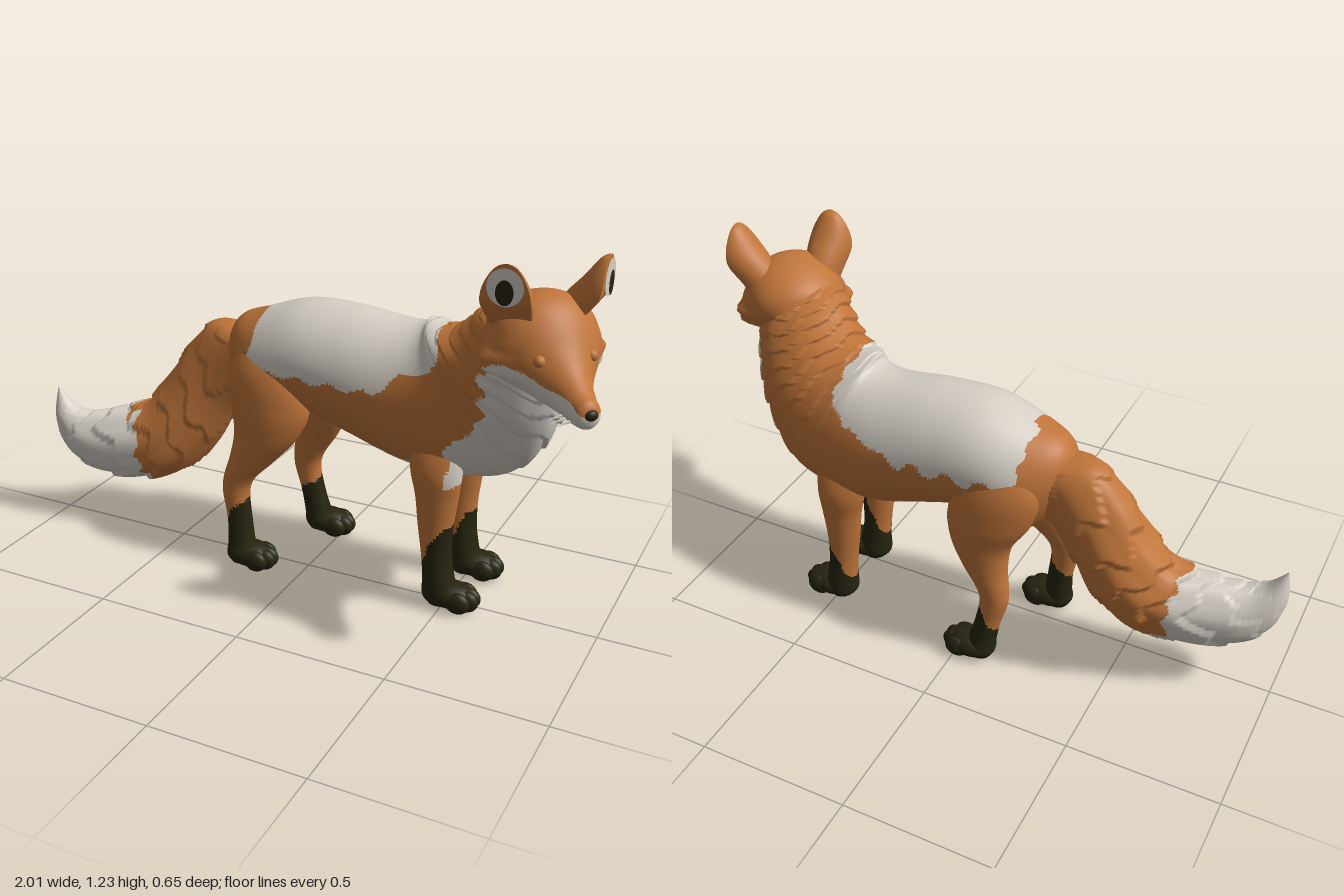
import * as THREE from 'three';

const mat = (name, color) => {
  const m = new THREE.MeshStandardMaterial({ color });
  m.name = name;
  return m;
};
const orange = mat('russet fur', 0xc0753a);
const white = mat('pale fur', 0xd6d0c6);
const dark = mat('dark fur', 0x26240f);
const MATS = [orange, white, dark];
const ORANGE = 0, WHITE = 1, DARK = 2;

// Smooth skin through elliptical sections [x, y, z, tilt, a, b]:
// a is the radius along the tilted axis in the xy plane, b the radius along z.
// shape(p, u, angle, centre) bends points, paint(p) picks the material of each face.
function loft(name, sections, { steps = 60, sides = 40, shape, paint = () => ORANGE } = {}) {
  const curve = (pick) => new THREE.CatmullRomCurve3(
    sections.map((s) => new THREE.Vector3(...pick(s))), false, 'catmullrom', 0.5);
  const centres = curve((s) => s.slice(0, 3));
  const radii = curve((s) => s.slice(3, 6));
  const pts = [];
  for (let i = 0; i <= steps; i++) {
    const u = i / steps, c = centres.getPoint(u), r = radii.getPoint(u);
    const t = THREE.MathUtils.degToRad(r.x);
    const a = Math.max(0.001, r.y), b = Math.max(0.001, r.z);
    for (let j = 0; j < sides; j++) {
      const th = (j / sides) * Math.PI * 2, k = a * Math.cos(th);
      const p = new THREE.Vector3(c.x + k * Math.cos(t), c.y + k * Math.sin(t), c.z + b * Math.sin(th));
      if (shape) shape(p, u, th, c);
      pts.push(p);
    }
  }
  const faces = MATS.map(() => []);
  const mid = new THREE.Vector3();
  const face = (a, b, c) => {
    mid.copy(pts[a]).add(pts[b]).add(pts[c]).divideScalar(3);
    faces[paint(mid)].push(a, b, c);
  };
  for (let i = 0; i < steps; i++) for (let j = 0; j < sides; j++) {
    const a = i * sides + j, b = i * sides + ((j + 1) % sides);
    face(a, b, a + sides);
    face(b, b + sides, a + sides);
  }
  const geo = new THREE.BufferGeometry().setFromPoints(pts);
  geo.setIndex(faces.flat());
  let start = 0;
  faces.forEach((f, i) => { if (f.length) geo.addGroup(start, f.length, i); start += f.length; });
  geo.computeVertexNormals();
  const mesh = new THREE.Mesh(geo, MATS);
  mesh.name = name;
  return mesh;
}

// Overlapping layers of pointed tufts
const clump = (u, th, rows) => {
  const points = Math.abs(((th * 7) / (Math.PI * 2)) % 1 - 0.5);
  const v = u * rows + points * 0.8 + 0.35 * Math.sin(2 * th + 9 * u);
  return v - Math.floor(v) - 0.5;
};
const swell = (p, c, k) => p.sub(c).multiplyScalar(1 + k).add(c);
const jag = (p) => 0.01 * Math.sin(55 * p.x + 20 * p.z) + 0.009 * Math.sin(71 * p.y + 47 * p.z);

function ball(name, material, pos, radius, scale = [1, 1, 1]) {
  const m = new THREE.Mesh(new THREE.SphereGeometry(radius, 24, 16), material);
  m.name = name;
  m.position.set(...pos);
  m.scale.set(...scale);
  return m;
}

// Leg of horizontal sections [x, y, z, rx, rz] ending in a paw with toes;
// the dark stocking slopes up towards the front, between 0.1 and top
function leg(name, rows, cuff, lean, top) {
  const g = new THREE.Group();
  g.name = name;
  const [px, , pz] = rows[rows.length - 1];
  g.add(loft('limb', rows.map(([x, y, z, rx, rz]) => [x, y, z, 0, rx, rz]), {
    steps: 70, sides: 36,
    paint: (p) => {
      const j = jag(p);
      if (p.y < THREE.MathUtils.clamp(cuff + lean * (p.x - px), 0.1, top) + j) return DARK;
      return p.x > 0.515 + j && p.y > 0.445 + j && p.z > -0.18 ? WHITE : ORANGE;
    },
  }));
  g.add(ball('paw', dark, [px + 0.035, 0.046, pz], 1, [0.085, 0.044, 0.06]));
  for (let i = 0; i < 4; i++) {
    const o = i - 1.5;
    g.add(ball('toe', dark, [px + 0.094 - 0.01 * o * o, 0.04, pz + o * 0.025], 1, [0.042, 0.037, 0.024]));
  }
  return g;
}

// Ear: rounded back, flat open side facing its own +z
function ear(name, side) {
  const g = new THREE.Group();
  g.name = name;
  g.add(loft('earShell', [
    [0, -0.03, -0.09, 180, 0.055, 0.06], [0, 0.03, -0.045, 180, 0.066, 0.1], [0, 0.08, -0.008, 180, 0.074, 0.105],
    [0, 0.125, 0, 180, 0.068, 0.074], [0, 0.165, 0, 180, 0.049, 0.043], [0, 0.19, 0, 180, 0.027, 0.022],
    [0, 0.2, 0, 180, 0.002, 0.002],
  ], { steps: 36, sides: 32, shape: (p, u, th, c) => { if (p.z > c.z) p.z = c.z; } }));
  const plate = (n, m, y, rx, ry, z) => {
    const s = new THREE.Shape().absellipse(0, y, rx, ry, 0, Math.PI * 2);
    const mesh = new THREE.Mesh(new THREE.ShapeGeometry(s, 24), m);
    mesh.name = n;
    mesh.position.z = z;
    g.add(mesh);
  };
  plate('innerEar', white, 0.134, 0.053, 0.054, 0.004);
  plate('earHollow', dark, 0.12, 0.026, 0.036, 0.008);
  g.position.set(0.07, 1.03, side * 0.158);
  g.rotation.y = side > 0 ? Math.PI / 4 : (3 * Math.PI) / 4;
  return g;
}

function makeHead() {
  const head = new THREE.Group();
  head.name = 'head';
  // Skull and muzzle, widened low down into the cheek ruffs
  head.add(loft('skull', [
    [-0.17, 0.99, 0, 90, 0.002, 0.002], [-0.15, 0.99, 0, 90, 0.06, 0.08], [-0.1, 0.99, 0, 90, 0.1, 0.135],
    [-0.02, 0.985, 0, 90, 0.135, 0.16], [0.05, 0.977, 0, 90, 0.14, 0.155], [0.11, 0.95, 0, 90, 0.122, 0.122],
    [0.16, 0.912, 0, 90, 0.09, 0.085], [0.2, 0.885, 0, 90, 0.068, 0.06], [0.25, 0.863, 0, 90, 0.051, 0.045],
    [0.29, 0.856, 0, 90, 0.037, 0.034], [0.306, 0.856, 0, 90, 0.002, 0.002],
  ], {
    steps: 100, sides: 72,
    shape: (p) => {
      const k = Math.exp(-(((p.x - 0.01) / 0.07) ** 2)) * Math.exp(-(((p.y - 0.92) / 0.055) ** 2));
      p.z *= 1 + k * (0.3 + 0.05 * Math.sin(p.y * 140));
    },
    paint: (p) => (p.x > -0.06 && p.y < 0.942 - 0.36 * Math.max(0, p.x - 0.08)
      - 0.4 * Math.max(0, 0.06 - p.x) + jag(p) * 0.3 ? WHITE : ORANGE),
  }));
  for (const s of [1, -1]) {
    head.add(ball('eye', orange, [0.142, 0.968, s * 0.08], 0.018));
    head.add(ear(s > 0 ? 'leftFacingEar' : 'rightFacingEar', s));
  }
  head.add(ball('nose', dark, [0.298, 0.862, 0], 0.018, [0.8, 0.9, 1.1]));
  // Loose wisps beside the mouth
  for (let i = 0; i < 3; i++) {
    const wisp = new THREE.Mesh(new THREE.ConeGeometry(0.007, 0.065, 6), white);
    wisp.name = 'wisp';
    wisp.position.set(0.215 + i * 0.018, 0.832 - i * 0.003, 0.055);
    wisp.rotation.x = 1.8;
    head.add(wisp);
  }
  head.position.set(0.78, 0, 0.09);
  head.rotation.y = -Math.PI / 4;
  return head;
}

export function createModel() {
  const fox = new THREE.Group();
  fox.name = 'fox';

  // Trunk rising into the neck
  fox.add(loft('body', [
    [-0.345, 0.74, -0.1, 90, 0.002, 0.002], [-0.295, 0.725, -0.1, 90, 0.108, 0.095], [-0.2, 0.69, -0.1, 90, 0.183, 0.165],
    [-0.05, 0.735, -0.1, 90, 0.185, 0.185], [0.12, 0.712, -0.1, 90, 0.21, 0.19], [0.3, 0.672, -0.1, 92, 0.232, 0.19],
    [0.43, 0.67, -0.09, 105, 0.25, 0.187], [0.54, 0.71, -0.07, 125, 0.27, 0.18], [0.64, 0.79, -0.025, 140, 0.22, 0.175],
    [0.695, 0.88, 0.015, 148, 0.185, 0.165], [0.73, 0.96, 0.05, 152, 0.155, 0.148], [0.76, 1.02, 0.075, 155, 0.1, 0.105],
    [0.78, 1.04, 0.09, 155, 0.002, 0.002],
  ], {
    steps: 200, sides: 96,
    shape: (p, u, th, c) => {
      const ruff = THREE.MathUtils.smoothstep(u, 0.52, 0.7);
      swell(p, c, 0.07 * ruff * clump(1 - u, th, 22));
    },
    paint: (p) => {
      const j = jag(p);
      // saddle
      if (p.x > -0.2 + j && p.x < 0.45 + j && p.y > 0.72 + 0.5 * Math.max(0, p.x - 0.25) + j) return WHITE;
      // bib
      const edge = 0.5 + 0.13 * THREE.MathUtils.clamp((p.y - 0.57) / 0.13, 0, 1);
      if (p.x > edge + j && p.y < 0.88 && p.z > -0.18 + 0.38 * Math.max(0, p.y - 0.6) + j) return WHITE;
      // belly
      if (p.x > 0.1 + j && p.x < 0.38 + j && p.y < 0.525 - 0.2 * (p.x - 0.1) + j) return WHITE;
      return ORANGE;
    },
  }));

  fox.add(makeHead());

  // Bushy tail with a pale, upturned tip
  fox.add(loft('tail', [
    [-0.2, 0.77, -0.1, -20, 0.07, 0.06], [-0.3, 0.72, -0.11, -35, 0.127, 0.09], [-0.412, 0.592, -0.115, -50, 0.14, 0.11],
    [-0.51, 0.445, -0.105, -50, 0.142, 0.128], [-0.61, 0.34, -0.075, -65, 0.14, 0.122],
    [-0.755, 0.3, -0.035, -88, 0.132, 0.1], [-0.89, 0.315, 0, -108, 0.1, 0.08],
    [-0.96, 0.39, 0.02, -140, 0.05, 0.05], [-0.99, 0.49, 0.025, -165, 0.002, 0.002],
  ], {
    steps: 150, sides: 70,
    shape: (p, u, th, c) => swell(p, c, 0.13 * Math.sin(Math.PI * Math.min(1, u * 1.05)) * clump(u, th, 9)),
    paint: (p) => (p.x < -0.66 - 0.15 * (p.y - 0.3) + 2 * jag(p) ? WHITE : ORANGE),
  }));

  // Front legs: same pose on both sides, tucked into the shoulder
  const frontLeg = (name, z, out, cuff, top) => leg(name, [
    [0.45, 0.66, z - out * 0.04, 0.06, 0.02], [0.455, 0.56, z - out * 0.018, 0.09, 0.048], [0.46, 0.47, z, 0.085, 0.058],
    [0.465, 0.38, z, 0.07, 0.054], [0.465, 0.28, z, 0.058, 0.05], [0.472, 0.18, z, 0.05, 0.049],
    [0.482, 0.1, z, 0.052, 0.053], [0.49, 0.04, z, 0.06, 0.055], [0.49, 0.012, z, 0.04, 0.04],
  ], cuff, 2.2, top);
  fox.add(frontLeg('frontLeftLeg', 0.029, 1, 0.28, 0.31));
  fox.add(frontLeg('frontRightLeg', -0.202, -1, 0.23, 0.25));

  // Hind legs: one stretched back, one further forward
  fox.add(leg('hindLeftLeg', [
    [-0.15, 0.82, -0.01, 0.06, 0.03], [-0.145, 0.7, 0.01, 0.13, 0.08], [-0.13, 0.58, 0.022, 0.14, 0.088],
    [-0.14, 0.48, 0.035, 0.113, 0.077], [-0.185, 0.39, 0.05, 0.08, 0.058], [-0.228, 0.32, 0.06, 0.056, 0.045],
    [-0.24, 0.26, 0.065, 0.048, 0.04], [-0.225, 0.16, 0.07, 0.043, 0.04], [-0.217, 0.08, 0.076, 0.047, 0.046],
    [-0.216, 0.04, 0.08, 0.05, 0.05], [-0.216, 0.012, 0.08, 0.035, 0.035],
  ], 0.215, 1, 0.24));
  fox.add(leg('hindRightLeg', [
    [-0.15, 0.82, -0.19, 0.06, 0.03], [-0.135, 0.7, -0.21, 0.13, 0.08], [-0.1, 0.58, -0.222, 0.14, 0.088],
    [-0.075, 0.48, -0.23, 0.105, 0.077], [-0.09, 0.39, -0.24, 0.078, 0.058], [-0.12, 0.31, -0.247, 0.056, 0.045],
    [-0.128, 0.25, -0.25, 0.048, 0.04], [-0.108, 0.16, -0.253, 0.043, 0.04], [-0.09, 0.08, -0.257, 0.047, 0.046],
    [-0.085, 0.04, -0.26, 0.05, 0.05], [-0.085, 0.012, -0.26, 0.035, 0.035],
  ], 0.215, 1, 0.24));
  return fox;
}
